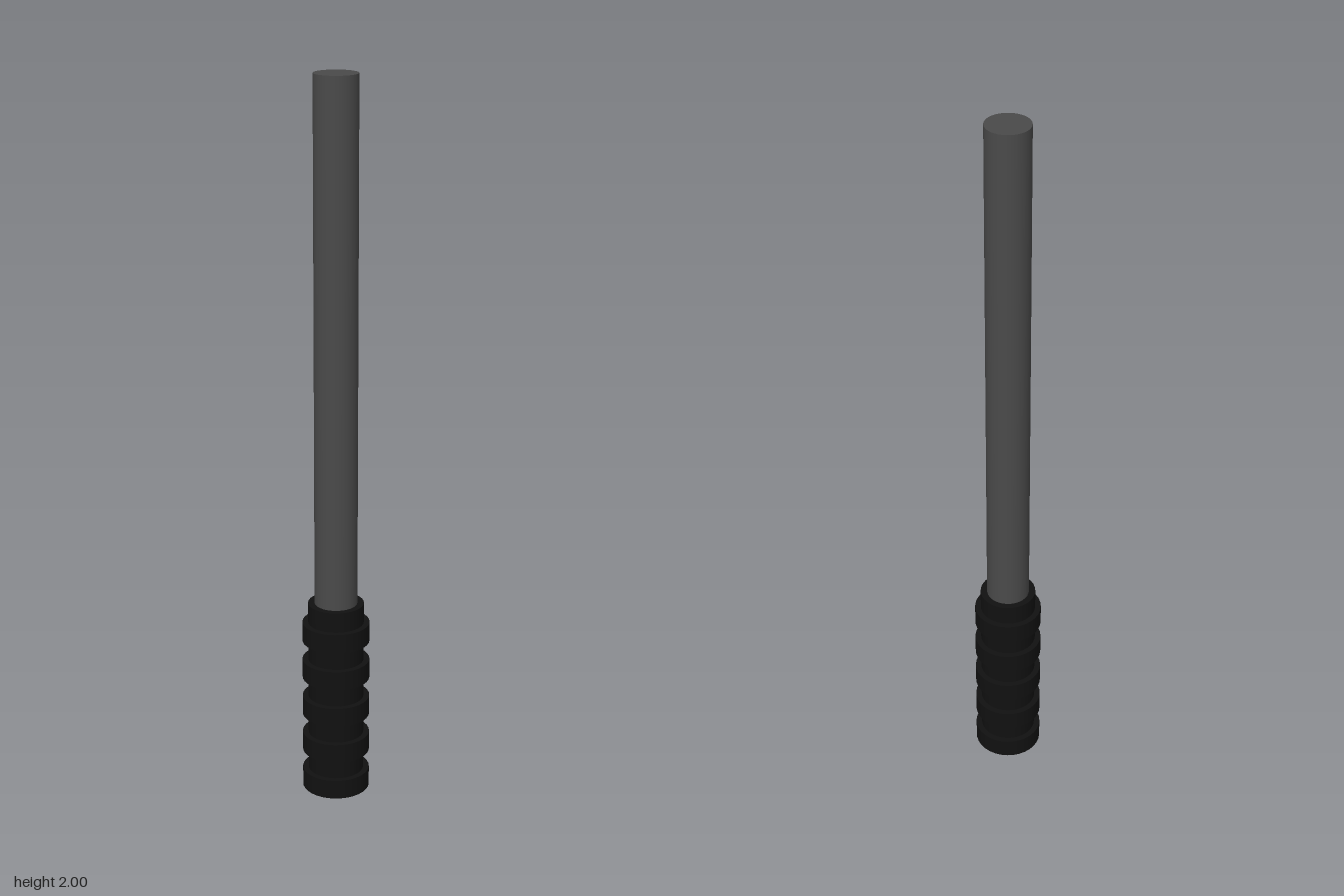
import * as THREE from 'three';

const shaftGrey = new THREE.MeshStandardMaterial({ color: 0x4a4a4a });
shaftGrey.name = 'shaftGrey';
const gripBlack = new THREE.MeshStandardMaterial({ color: 0x111111 });
gripBlack.name = 'gripBlack';

// Upright round bar between two heights
function bar(name, radius, bottom, top, material) {
  const mesh = new THREE.Mesh(new THREE.CylinderGeometry(radius, radius, top - bottom, 32), material);
  mesh.name = name;
  mesh.position.y = (bottom + top) / 2;
  return mesh;
}

export function createModel() {
  const model = new THREE.Group();
  model.name = 'baton';

  // Long plain shaft, seated in the grip
  model.add(bar('shaft', 0.059, 0.5, 2, shaftGrey));

  // Ribbed handle: a core with five evenly spaced rings
  const grip = new THREE.Group();
  grip.name = 'grip';
  grip.add(bar('gripCore', 0.077, 0.005, 0.556, gripBlack));
  const spacing = 0.111;
  for (let i = 0; i < 5; i++) {
    const y = i * spacing;
    grip.add(bar(`gripRing${i + 1}`, 0.093, y, y + 0.055, gripBlack));
  }
  model.add(grip);

  return model;
}
